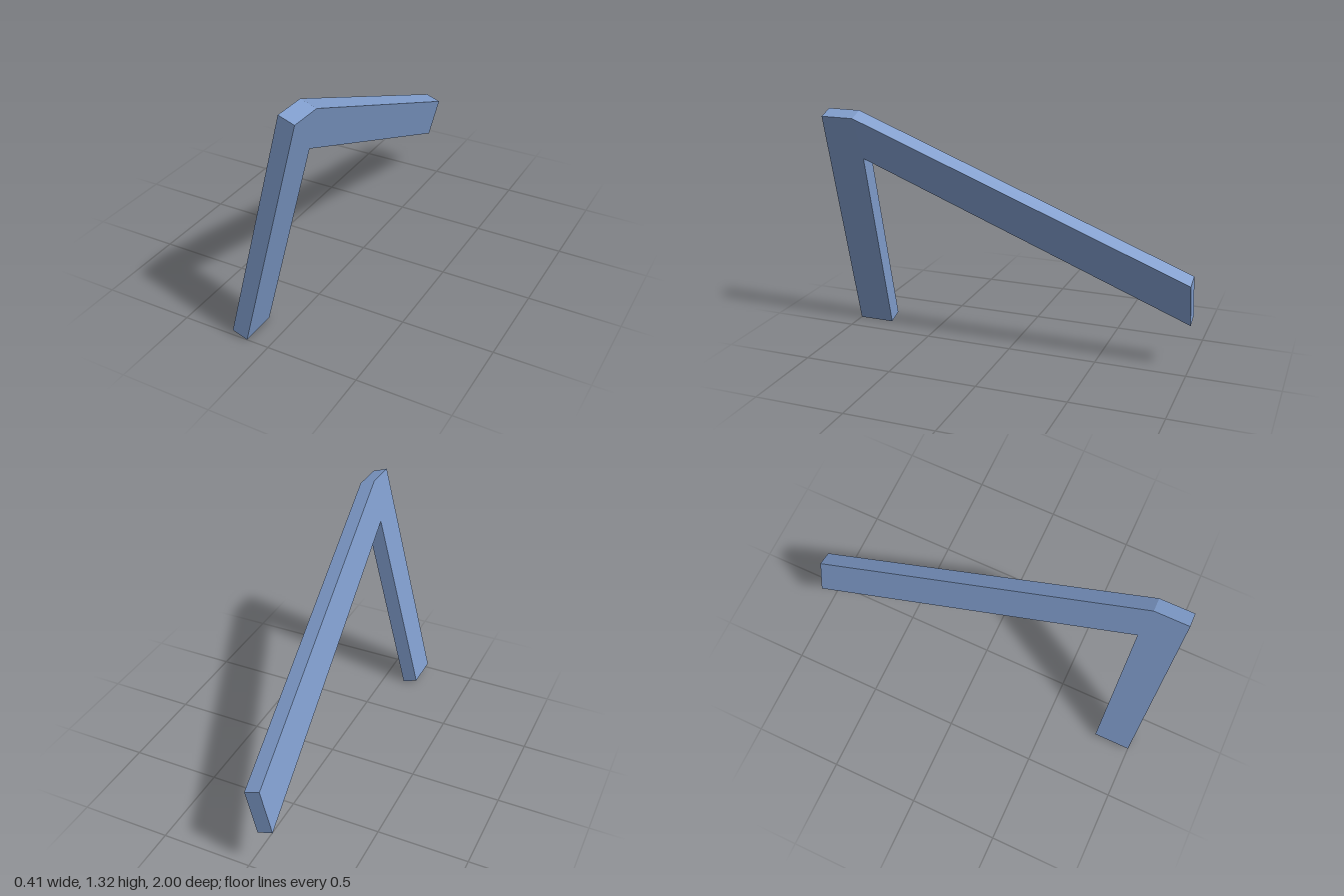
import * as THREE from 'three';

export function createModel() {
  const group = new THREE.Group();
  group.name = 'leaningBracket';

  // Side outline: upright post at the front, sloping arm running to the back (z, y)
  const outline = [
    [1, 0], [1, 1.295], [0.815, 1.295], [-1, 0.505],
    [-1, 0.263], [0.79, 1.065], [0.795, 0],
  ];
  const shape = new THREE.Shape(outline.map(([z, y]) => new THREE.Vector2(z, y)));
  const geometry = new THREE.ExtrudeGeometry(shape, { depth: 1, bevelEnabled: false });

  // Stand the slab up, leaning to the side, with its thickness slightly skewed
  geometry.applyMatrix4(new THREE.Matrix4().makeBasis(
    new THREE.Vector3(0, 0, 1),
    new THREE.Vector3(0.255, 1, 0),
    new THREE.Vector3(-0.084, 0.03, 0),
  ).setPosition(-0.125, 0, 0));

  // The arm drifts very slightly sideways towards its far end
  const p = geometry.attributes.position;
  for (let i = 0; i < p.count; i++) {
    p.setX(i, p.getX(i) + 0.0035 * Math.min(0, p.getZ(i) - 0.79));
  }
  geometry.computeVertexNormals();

  const material = new THREE.MeshStandardMaterial({ color: 0x7f9ccb, flatShading: true });
  const bracket = new THREE.Mesh(geometry, material);
  bracket.name = 'postAndArm';
  group.add(bracket);
  return group;
}
